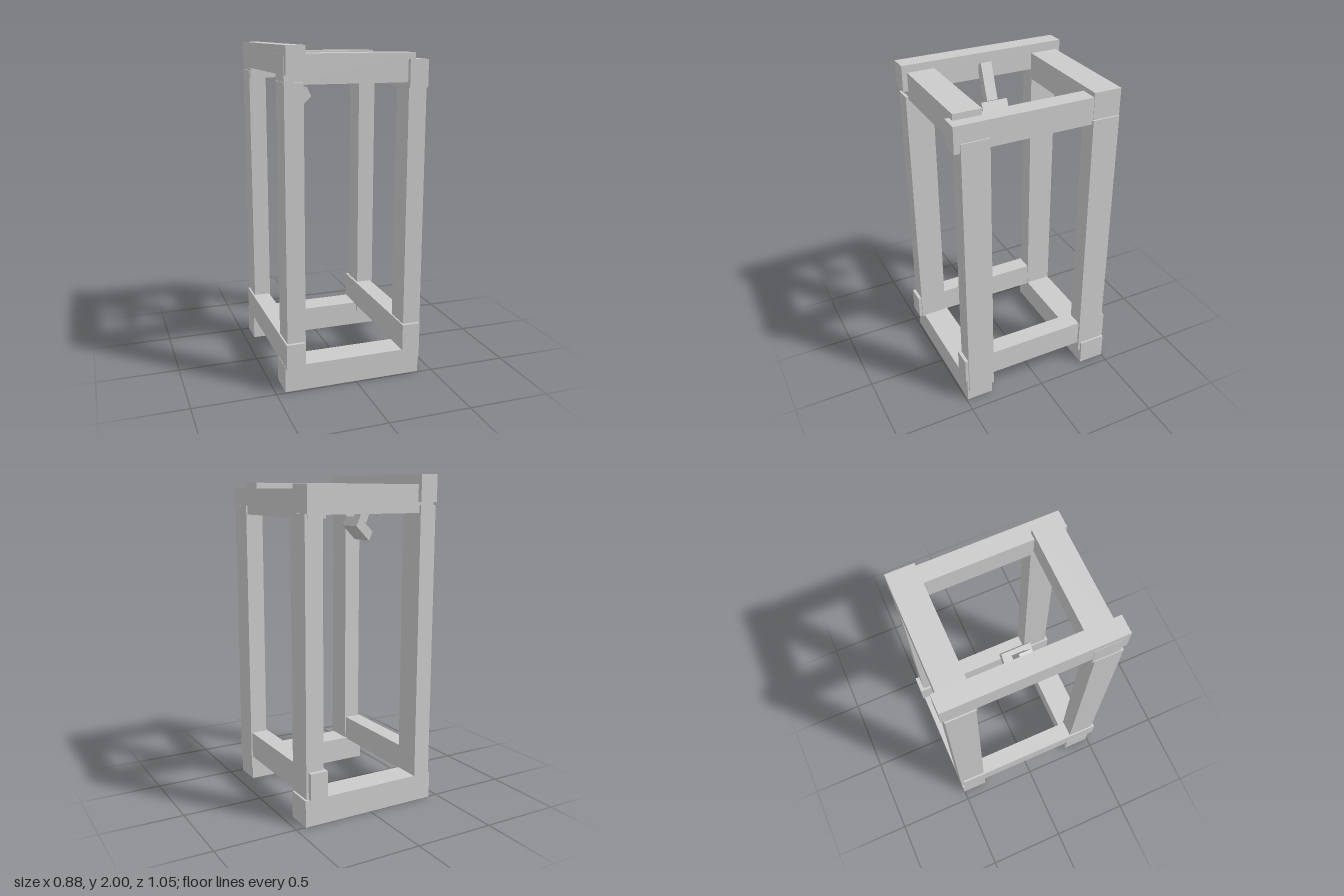
import * as THREE from 'three';

const material = new THREE.MeshStandardMaterial({ color: 0xcccccc, flatShading: true });

// Box given by its [min, max] range on each axis
function beam(name, [x0, x1], [y0, y1], [z0, z1]) {
  const mesh = new THREE.Mesh(new THREE.BoxGeometry(x1 - x0, y1 - y0, z1 - z0), material);
  mesh.position.set((x0 + x1) / 2, (y0 + y1) / 2, (z0 + z1) / 2);
  mesh.name = name;
  return mesh;
}

// Outline in the xy plane, extruded symmetrically along z
function slab(name, points, depth) {
  const shape = new THREE.Shape(points.map(([x, y]) => new THREE.Vector2(x, y)));
  const geometry = new THREE.ExtrudeGeometry(shape, { depth, bevelEnabled: false });
  geometry.translate(0, 0, -depth / 2);
  const mesh = new THREE.Mesh(geometry, material);
  mesh.name = name;
  return mesh;
}

export function createModel() {
  const model = new THREE.Group();
  model.name = 'timberFrame';

  // Four upright posts
  const legs = new THREE.Group();
  legs.name = 'legs';
  legs.add(
    beam('frontLeftLeg', [0.31, 0.42], [0.08, 1.815], [0.31, 0.48]),
    beam('frontRightLeg', [-0.43, -0.32], [0.15, 1.805], [0.335, 0.505]),
    beam('backLeftLeg', [0.315, 0.427], [0.1, 1.785], [-0.49, -0.32]),
    beam('backRightLeg', [-0.428, -0.322], [0.125, 1.825], [-0.508, -0.335]),
  );

  // Bottom rails: front and back stand on the ground, sides sit on them
  const bottomRails = new THREE.Group();
  bottomRails.name = 'bottomRails';
  bottomRails.add(
    beam('frontBottomRail', [-0.442, 0.41], [0, 0.16], [0.32, 0.49]),
    beam('backBottomRail', [-0.44, 0.44], [0, 0.163], [-0.505, -0.335]),
    beam('leftBottomRail', [0.3, 0.412], [0.16, 0.325], [-0.517, 0.5]),
    beam('rightBottomRail', [-0.44, -0.328], [0.153, 0.31], [-0.49, 0.525]),
  );

  // Top rails
  const topRails = new THREE.Group();
  topRails.name = 'topRails';
  topRails.add(
    beam('frontTopRail', [-0.425, 0.343], [1.79, 1.955], [0.32, 0.488]),
    beam('backTopRail', [-0.42, 0.415], [1.78, 1.945], [-0.496, -0.325]),
    beam('leftTopRail', [0.3, 0.412], [1.76, 1.918], [-0.495, 0.516]),
    beam('rightTopRail', [-0.423, -0.312], [1.842, 2], [-0.525, 0.52]),
  );

  // Slanted bracket hanging from the right top rail, with a tilted block below
  const bracket = new THREE.Group();
  bracket.name = 'bracket';
  bracket.add(
    slab('bracketArm', [[-0.28, 1.95], [-0.33, 1.92], [-0.25, 1.705], [-0.198, 1.737]], 0.07),
    slab('bracketBlock', [[-0.265, 1.654], [-0.24, 1.598], [-0.147, 1.69], [-0.173, 1.746]], 0.17),
  );

  model.add(legs, bottomRails, topRails, bracket);
  return model;
}
